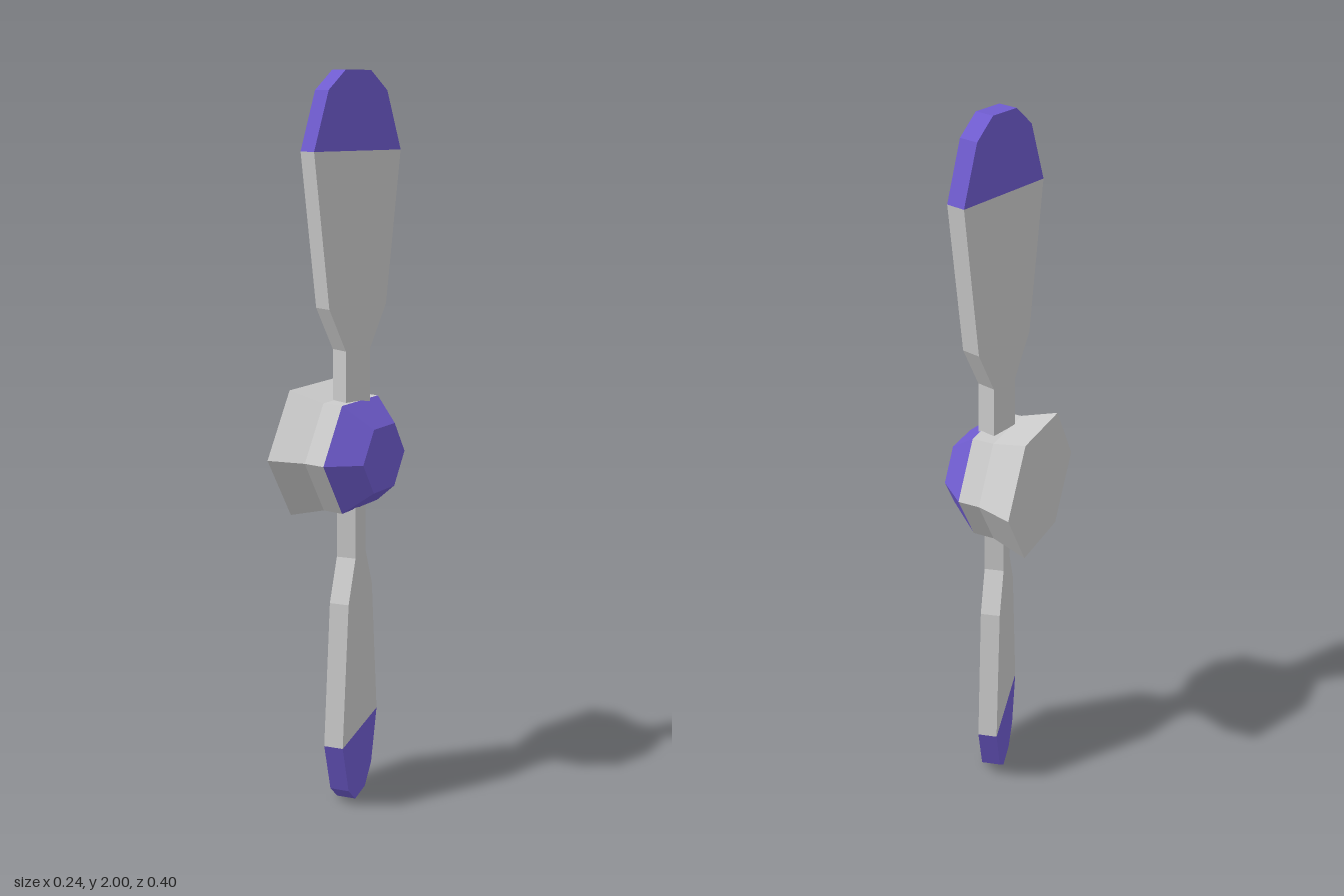
import * as THREE from 'three';

const material = (color) => new THREE.MeshStandardMaterial({ color, flatShading: true });

export function createModel() {
  const grey = material(0xcccccc);
  const purple = material(0x6f5ccf);
  const propeller = new THREE.Group();
  propeller.name = 'propeller';

  const add = (parent, name, geometry, mat) => {
    const mesh = new THREE.Mesh(geometry, mat);
    mesh.name = name;
    parent.add(mesh);
  };

  // Six-sided hub and nose cap, turned about the x axis
  const turned = (profile) =>
    new THREE.LatheGeometry(profile.map(([r, h]) => new THREE.Vector2(r, h)), 6)
      .rotateZ(-Math.PI / 2)
      .translate(0, 1, 0);
  add(propeller, 'hub', turned([[0, -0.12], [0.2, -0.12], [0.17, -0.02], [0.17, 0.04]]), grey);
  add(propeller, 'noseCap', turned([[0.17, 0.04], [0.1, 0.118], [0, 0.118]]), purple);

  // Flat slab from a mirrored outline of [half width, height] pairs
  const thickness = 0.054;
  const slab = (outline) => {
    const right = outline.map(([w, y]) => new THREE.Vector2(w, y));
    const left = outline.map(([w, y]) => new THREE.Vector2(-w, y)).reverse();
    return new THREE.ExtrudeGeometry(new THREE.Shape([...right, ...left]), {
      depth: thickness,
      bevelEnabled: false,
    }).translate(0, 0, -thickness / 2);
  };
  const bladeShape = slab([[0.042, 0.06], [0.042, 0.285], [0.098, 0.4], [0.146, 0.8]]);
  const tipShape = slab([[0.146, 0.8], [0.098, 0.95], [0.042, 1]]);

  // Two pitched blades, the lower one turned half a revolution
  for (const [name, turn] of [['upperBlade', 0], ['lowerBlade', Math.PI]]) {
    const blade = new THREE.Group();
    blade.name = name;
    add(blade, 'bladeBody', bladeShape, grey);
    add(blade, 'bladeTip', tipShape, purple);
    blade.position.set(0.0115, 1, 0);
    blade.rotation.set(turn, THREE.MathUtils.degToRad(75), 0);
    propeller.add(blade);
  }
  return propeller;
}
